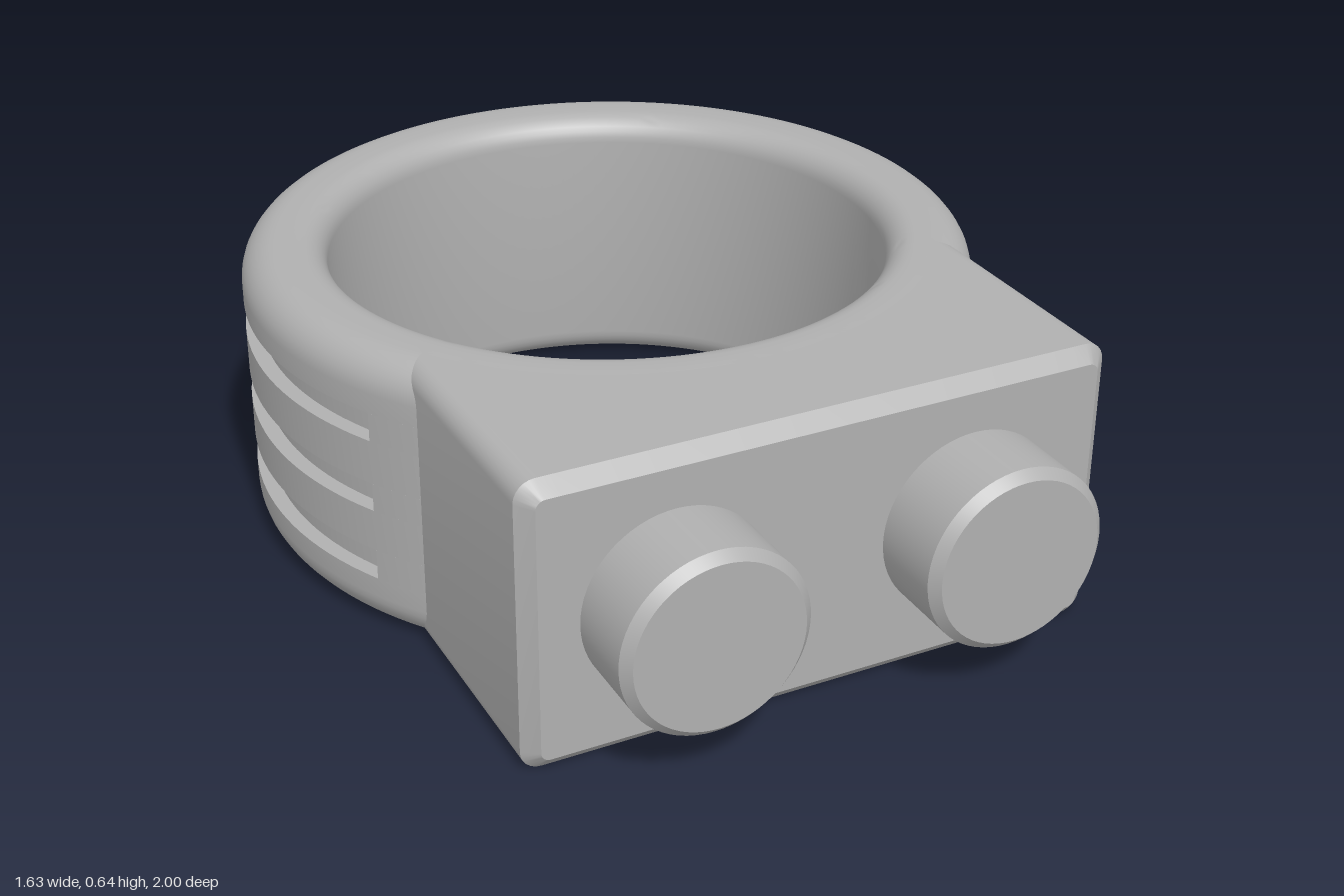
import * as THREE from 'three';
import { toCreasedNormals } from 'three/addons/utils/BufferGeometryUtils.js';

const H = 0.645, MID = H / 2, RING_Z = -0.185;
const OUTER = 0.815, INNER = 0.625, GROOVE_R = 0.78, GROOVE_END = 0.2;
const GROOVES = [[0.125, 0.195], [0.29, 0.355], [0.455, 0.52]];

// Points along a circular arc
function arc(cx, cy, r, a0, a1, n) {
  return Array.from({ length: n + 1 }, (_, i) => {
    const a = a0 + (a1 - a0) * i / n;
    return new THREE.Vector2(cx + r * Math.cos(a), cy + r * Math.sin(a));
  });
}

// Ring with filleted rims and three grooves round the outside
function ringGeometry() {
  const P = Math.PI / 2, ro = 0.08, ri = 0.06;
  const pts = [...arc(OUTER - ro, ro, ro, -P, 0, 8)];
  for (const [a, b] of GROOVES) {
    pts.push(new THREE.Vector2(OUTER, a), new THREE.Vector2(GROOVE_R, a),
      new THREE.Vector2(GROOVE_R, b), new THREE.Vector2(OUTER, b));
  }
  pts.push(...arc(OUTER - ro, H - ro, ro, 0, P, 8));
  pts.push(...arc(INNER + ri, H - ri, ri, P, 2 * P, 7));
  pts.push(...arc(INNER + ri, ri, ri, 2 * P, 3 * P, 7));
  pts.push(pts[0].clone());
  return toCreasedNormals(new THREE.LatheGeometry(pts, 144), 0.6);
}

// Fills one groove in front of its flat end
function grooveFillGeometry(height) {
  const d = GROOVE_END - RING_Z, r = 0.72;
  const a = Math.asin(d / OUTER), b = Math.asin(d / r);
  const shape = new THREE.Shape([
    ...arc(0, 0, OUTER, -Math.PI + a, -a, 60),
    ...arc(0, 0, r, -b, -Math.PI + b, 60),
  ]);
  const g = new THREE.ExtrudeGeometry(shape, { depth: height, bevelEnabled: false });
  return toCreasedNormals(g.rotateX(-Math.PI / 2), 0.6);
}

// Rounded rectangle, with its long edges divided
function blockOutline(w, h, r) {
  const P = Math.PI / 2, x = w - r, y = h - r, n = 32, pts = [];
  pts.push(...arc(x, y, r, 0, P, 6));
  for (let i = 1; i < n; i++) pts.push(new THREE.Vector2(x - 2 * x * i / n, h));
  pts.push(...arc(-x, y, r, P, 2 * P, 6), ...arc(-x, -y, r, 2 * P, 3 * P, 6));
  for (let i = 1; i < n; i++) pts.push(new THREE.Vector2(-x + 2 * x * i / n, -h));
  pts.push(...arc(x, -y, r, 3 * P, 4 * P, 6));
  return pts;
}

// Block whose back follows the ring and whose front is chamfered
function blockGeometry() {
  const body = blockOutline(0.652, MID, 0.045);
  const face = blockOutline(0.62, MID - 0.032, 0.02);
  const n = body.length, pos = [], index = [];
  for (const p of body) pos.push(p.x, p.y, RING_Z + Math.sqrt(0.71 ** 2 - p.x ** 2));
  for (const p of body) pos.push(p.x, p.y, 0.785);
  for (const p of face) pos.push(p.x, p.y, 0.815);
  pos.push(0, 0, 0.815);
  for (let i = 0; i < n; i++) {
    const j = (i + 1) % n;
    for (const k of [0, n]) {
      index.push(k + i, k + j, k + n + i, k + j, k + n + j, k + n + i);
    }
    index.push(3 * n, 2 * n + i, 2 * n + j);
  }
  const g = new THREE.BufferGeometry();
  g.setAttribute('position', new THREE.Float32BufferAttribute(pos, 3));
  g.setIndex(index);
  return toCreasedNormals(g, 0.5);
}

// Round button with a chamfered front edge
function buttonGeometry() {
  const pts = [[0, 0], [0.202, 0], [0.202, 0.18], [0.182, 0.2], [0, 0.2]]
    .map(([x, y]) => new THREE.Vector2(x, y));
  return toCreasedNormals(new THREE.LatheGeometry(pts, 64), 0.5).rotateX(Math.PI / 2);
}

export function createModel() {
  const group = new THREE.Group();
  group.name = 'ringClamp';
  const grey = new THREE.MeshStandardMaterial({ color: 0xb0b0b0 });
  grey.name = 'grey';

  function add(name, geometry, x, y, z) {
    const mesh = new THREE.Mesh(geometry, grey);
    mesh.name = name;
    mesh.position.set(x, y, z);
    group.add(mesh);
  }

  add('ring', ringGeometry(), 0, 0, RING_Z);
  GROOVES.forEach(([a, b], i) => add('grooveEnd' + (i + 1), grooveFillGeometry(b - a), 0, a, RING_Z));
  add('block', blockGeometry(), 0, MID, 0);
  const button = buttonGeometry();
  add('leftButton', button, 0.332, MID, 0.8);
  add('rightButton', button, -0.332, MID, 0.8);
  return group;
}
